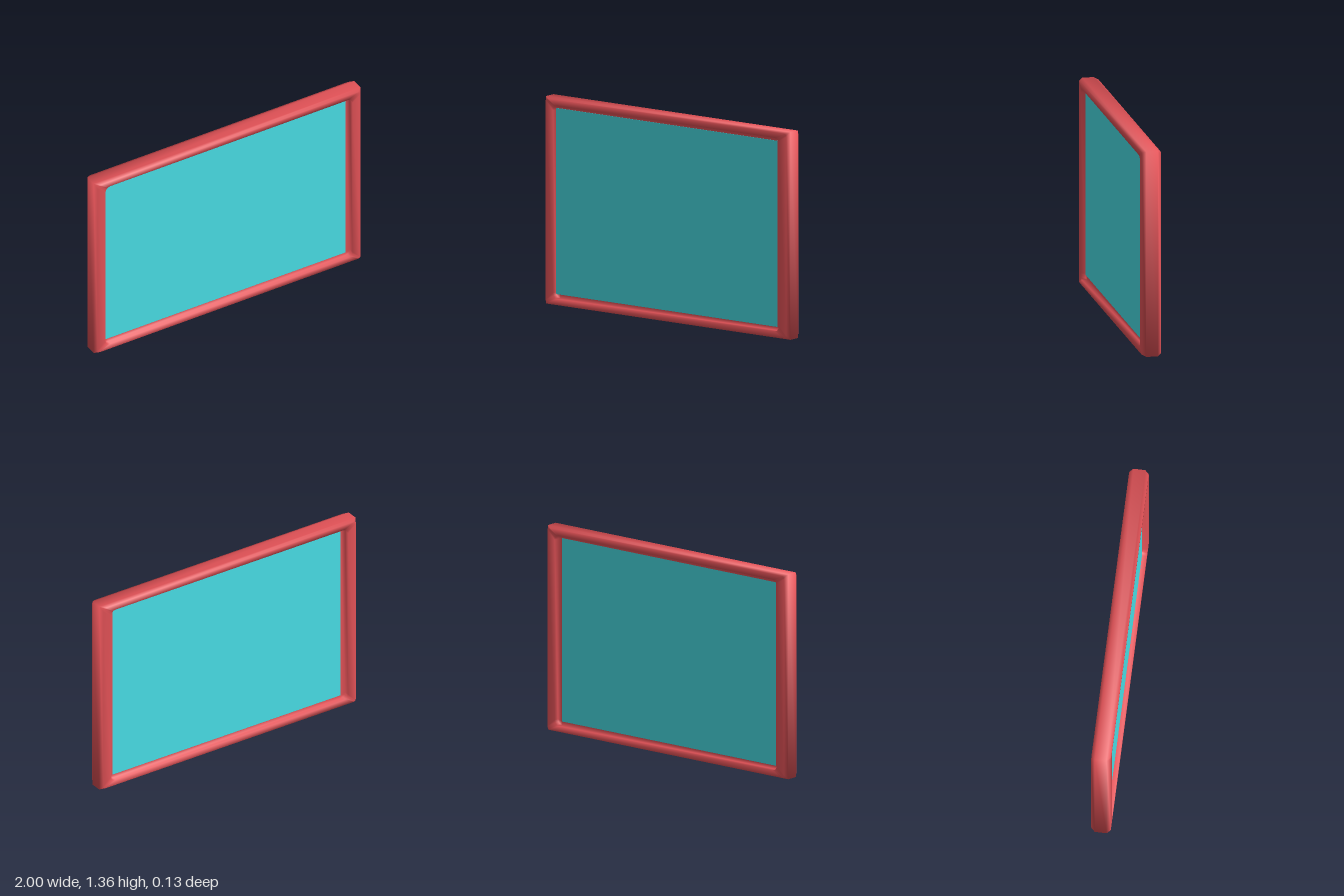
import * as THREE from 'three';
import { mergeVertices } from 'three/addons/utils/BufferGeometryUtils.js';

const CY = 0.6775; // height of the centre
const DEPTH = 0.063, LIP_Z = 0.03;
const LIP_W = 0.89, LIP_H = 0.6075;
const HOLE_W = 0.925, HOLE_H = 0.631, HOLE_R = 0.035;
const STEPS = 4; // points per corner

// Counter-clockwise rounded rectangle; radius 0 gives coincident corner points
function loop(w, h, r, z) {
  const pts = [];
  [[1, 1], [-1, 1], [-1, -1], [1, -1]].forEach(([sx, sy], c) => {
    for (let i = 0; i < STEPS; i++) {
      const a = (c + i / (STEPS - 1)) * Math.PI / 2;
      pts.push([sx * (w - r) + r * Math.cos(a), sy * (h - r) + r * Math.sin(a), z]);
    }
  });
  return pts;
}

// Skin successive closed loops with shared, smooth normals
function skin(loops) {
  const n = loops[0].length, index = [];
  for (let j = 0; j < loops.length - 1; j++) {
    for (let i = 0; i < n; i++) {
      const a = j * n + i, b = j * n + (i + 1) % n;
      index.push(a, a + n, b, b, a + n, b + n);
    }
  }
  let g = new THREE.BufferGeometry();
  g.setAttribute('position', new THREE.Float32BufferAttribute(loops.flat(2), 3));
  g.setIndex(index);
  g = mergeVertices(g, 1e-5);
  g.computeVertexNormals();
  return g;
}

export function createModel() {
  const group = new THREE.Group();
  const red = new THREE.MeshStandardMaterial({ color: 0xe35257 });
  red.name = 'red frame';
  const cyan = new THREE.MeshStandardMaterial({ color: 0x49dee6 });
  cyan.name = 'cyan panel';

  const add = (name, geometry, material, x = 0, z = 0) => {
    const m = new THREE.Mesh(geometry, material);
    m.name = name;
    m.position.set(x, CY, z);
    group.add(m);
  };

  // Frame: lip, opening wall, front face, softened rim, then the same behind
  add('frame', skin([
    loop(LIP_W, LIP_H, 0, LIP_Z),
    loop(HOLE_W, HOLE_H, HOLE_R, LIP_Z),
    loop(HOLE_W, HOLE_H, HOLE_R, DEPTH),
    loop(0.985, 0.6675, 0.02, DEPTH),
    loop(1, CY, 0, 0.038),
    loop(1, CY, 0, -0.038),
    loop(0.985, 0.6675, 0.02, -DEPTH),
    loop(HOLE_W, HOLE_H, HOLE_R, -DEPTH),
    loop(HOLE_W, HOLE_H, HOLE_R, -LIP_Z),
    loop(LIP_W, LIP_H, 0, -LIP_Z),
  ]), red);

  // Panel filling the frame, flush with the lips
  add('panel', new THREE.BoxGeometry(2 * LIP_W, 2 * LIP_H, 2 * LIP_Z), cyan);

  // Front sheet, reaching over the lip on the right side
  add('frontSheet', new THREE.BoxGeometry(HOLE_W + LIP_W, 2 * LIP_H, 0.004), cyan,
    (LIP_W - HOLE_W) / 2, LIP_Z);

  return group;
}
